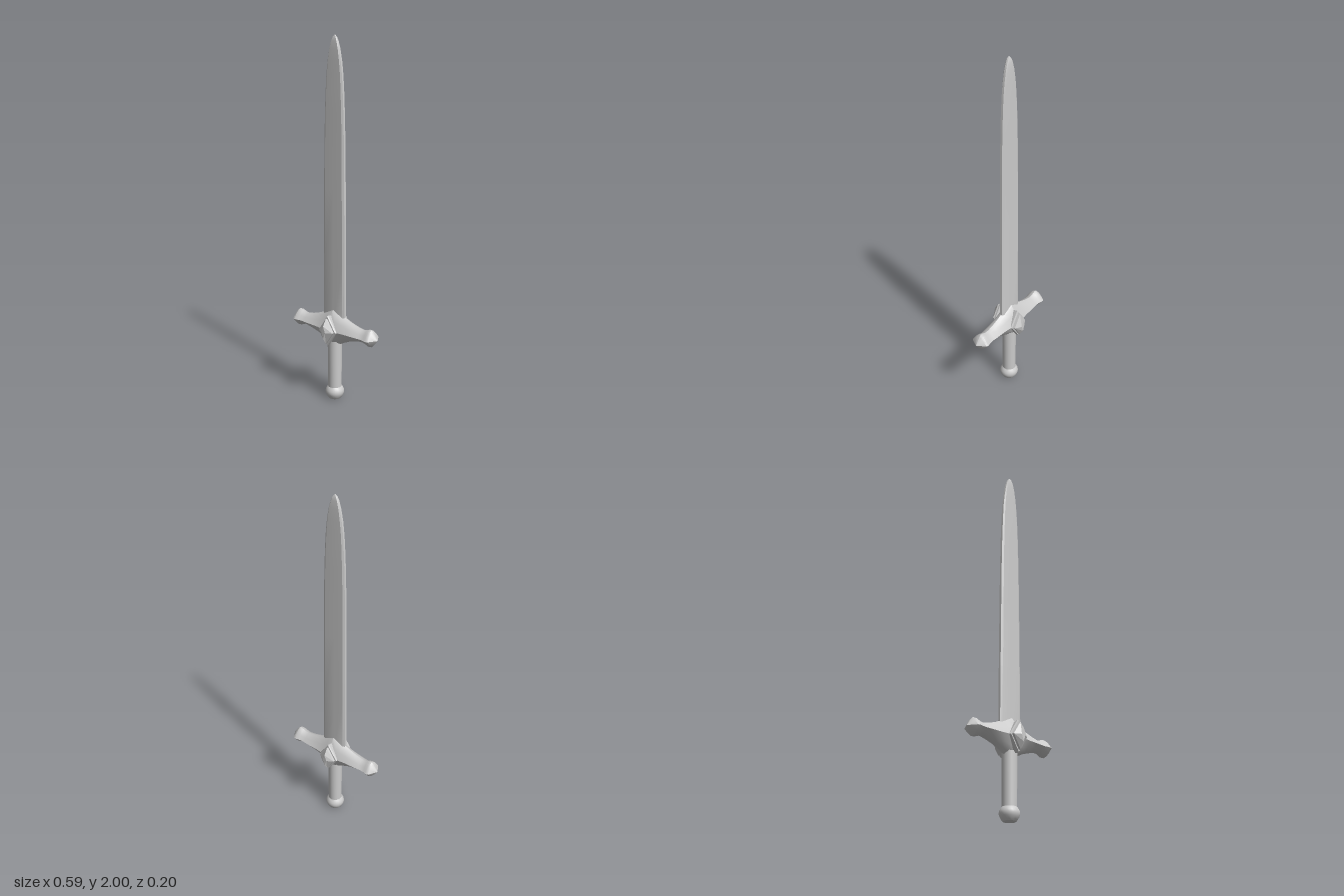
import * as THREE from 'three';
import { toCreasedNormals } from 'three/addons/utils/BufferGeometryUtils.js';

const material = new THREE.MeshStandardMaterial({ color: 0xcccccc });

// Skin a list of closed rings (counter-clockwise about the direction of travel), capped at both ends
function loft(rings, crease) {
  const n = rings[0].length, pos = rings.flat(2), idx = [];
  for (let i = 0; i < rings.length - 1; i++) {
    for (let j = 0; j < n; j++) {
      const k = (j + 1) % n, a = i * n, b = a + n;
      idx.push(a + j, a + k, b + k, a + j, b + k, b + j);
    }
  }
  const last = (rings.length - 1) * n;
  for (let j = 1; j < n - 1; j++) {
    idx.push(0, j + 1, j, last, last + j, last + j + 1);
  }
  const g = new THREE.BufferGeometry();
  g.setAttribute('position', new THREE.Float32BufferAttribute(pos, 3));
  g.setIndex(idx);
  return toCreasedNormals(g, crease);
}

function part(parent, name, geometry) {
  const m = new THREE.Mesh(geometry, material);
  m.name = name;
  parent.add(m);
  return m;
}

// Blade: flat bevelled section narrowing to a rounded point; rows are [y, half width, half thickness]
function bladeGeometry() {
  const rows = [
    [0.42, 0.074, 0.015], [0.8, 0.072, 0.015], [1.2, 0.069, 0.015], [1.45, 0.066, 0.014],
    [1.6, 0.062, 0.014], [1.7, 0.058, 0.014], [1.8, 0.052, 0.013], [1.87, 0.044, 0.013],
    [1.93, 0.033, 0.012], [1.97, 0.021, 0.010], [1.99, 0.011, 0.007], [2.0, 0.002, 0.002],
  ];
  return loft(rows.map(([y, w, t]) => {
    const s = w * 0.84, e = t * 0.45;
    return [[w, e], [s, t * 0.9], [0, t], [-s, t * 0.9], [-w, e],
      [-w, -e], [-s, -t * 0.9], [0, -t], [s, -t * 0.9], [w, -e]]
      .map(([x, z]) => [x, y, -z]);
  }), 0.5);
}

// Crossguard: ridged section along x with flared, pointed ends; rows are [x, top, bottom, half depth]
function guardGeometry() {
  const mid = 0.42;
  const half = [
    [0, 0.54, 0.308, 0.065], [0.03, 0.522, 0.325, 0.061], [0.06, 0.504, 0.343, 0.058],
    [0.1, 0.485, 0.362, 0.053], [0.15, 0.468, 0.378, 0.051], [0.19, 0.459, 0.387, 0.048],
    [0.21, 0.459, 0.387, 0.046], [0.23, 0.466, 0.38, 0.049], [0.245, 0.472, 0.373, 0.052],
    [0.255, 0.471, 0.373, 0.053], [0.265, 0.463, 0.38, 0.049], [0.295, 0.421, 0.419, 0.001],
  ];
  const rows = [...half.slice(1).reverse().map(([x, ...r]) => [-x, ...r]), ...half];
  return loft(rows.map(([x, top, bottom, d]) => {
    const u = top - mid, l = bottom - mid;
    return [[u, 0], [u * 0.85, 0.32], [u * 0.5, 0.66], [0, 1], [l * 0.5, 0.66], [l * 0.85, 0.32],
      [l, 0], [l * 0.85, -0.32], [l * 0.5, -0.66], [0, -1], [u * 0.5, -0.66], [u * 0.85, -0.32]]
      .map(([y, z]) => [x, mid + y, z * d]);
  }), 0.5);
}

// Stack of diamond outlines facing +z; rows are [z, half width, half height]
function diamondStack(rows) {
  return loft(rows.map(([z, w, h]) => [[w, 0, z], [0, h, z], [-w, 0, z], [0, -h, z]]), 0.1);
}

export function createModel() {
  const sword = new THREE.Group();
  sword.name = 'sword';
  part(sword, 'blade', bladeGeometry());
  part(sword, 'crossguard', guardGeometry());

  // Gem in a diamond-shaped setting on both faces of the guard
  for (const [name, turn] of [['frontOrnament', 0], ['backOrnament', Math.PI]]) {
    const ornament = new THREE.Group();
    ornament.name = name;
    part(ornament, 'setting', diamondStack([
      [0.025, 0.05, 0.078], [0.058, 0.06, 0.088], [0.066, 0.056, 0.083], [0.066, 0.05, 0.076],
    ]));
    part(ornament, 'gem', diamondStack([
      [0.06, 0.048, 0.074], [0.078, 0.048, 0.072], [0.1, 0.013, 0.036],
    ]));
    ornament.position.y = 0.42;
    ornament.rotation.y = turn;
    sword.add(ornament);
  }

  // Round grip
  const grip = part(sword, 'grip', new THREE.CylinderGeometry(0.04, 0.038, 0.3, 24, 1, true));
  grip.position.y = 0.2;

  // Pommel: rounded knob with a flat foot
  const profile = [
    [0, 0], [0.034, 0], [0.04, 0.007], [0.049, 0.023], [0.053, 0.037],
    [0.051, 0.05], [0.045, 0.062], [0.037, 0.072],
  ].map(([x, y]) => new THREE.Vector2(x, y));
  part(sword, 'pommel', toCreasedNormals(new THREE.LatheGeometry(profile, 24), 0.7));
  return sword;
}
